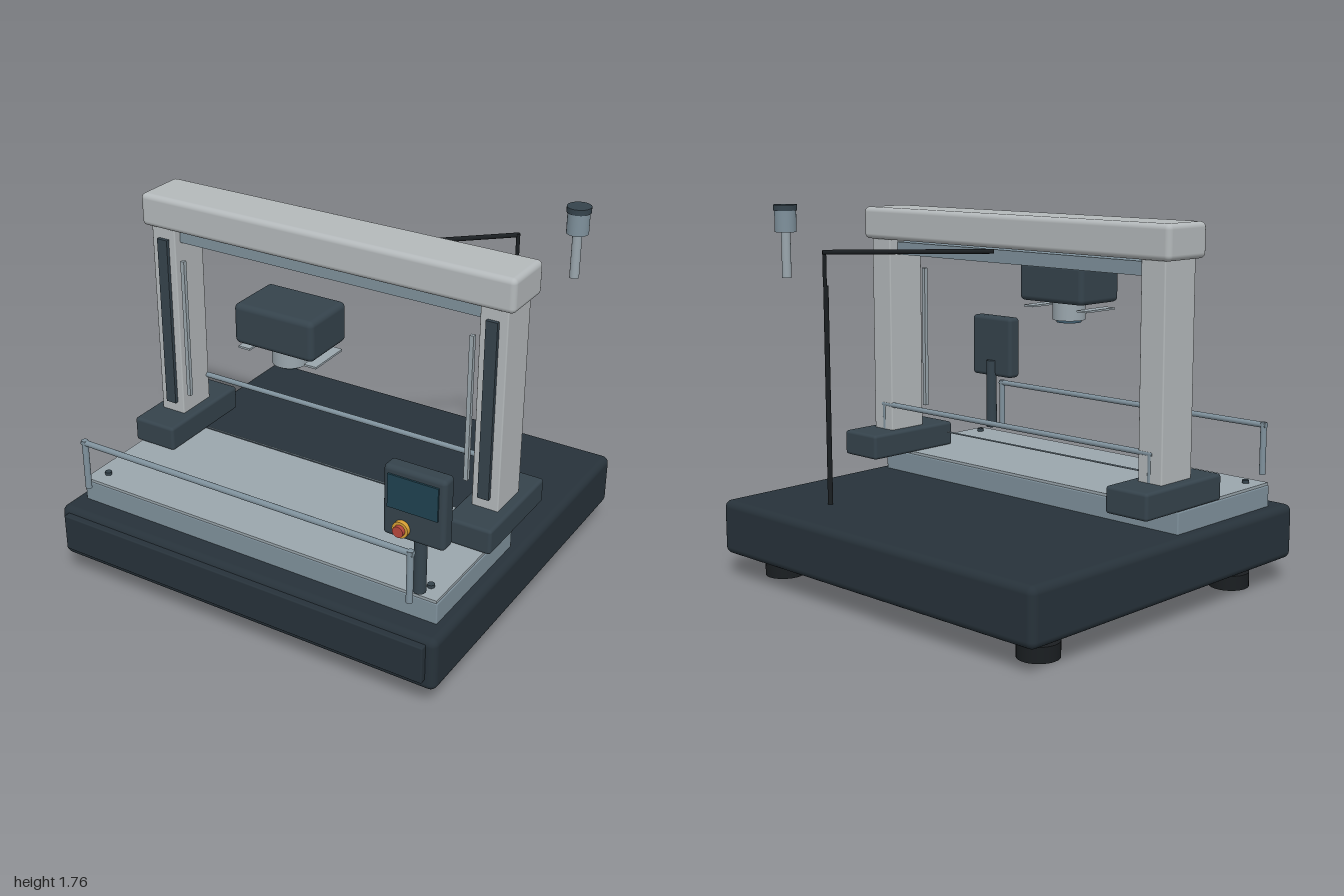
import * as THREE from 'three';
import { RoundedBoxGeometry } from 'three/addons/geometries/RoundedBoxGeometry.js';

const mat = (color) => new THREE.MeshStandardMaterial({ color });
const M = {
  navy: mat(0x27323a), slate: mat(0x35434c), black: mat(0x1a1e21), shell: mat(0xb4b9bb),
  steel: mat(0x7f919c), pale: mat(0x9aa6ad), screen: mat(0x1f4250), yellow: mat(0xd9a035),
  red: mat(0xb8473c), glass: mat(0x3d5a6b),
};

export function createModel() {
  const root = new THREE.Group();
  const add = (name, geo, material, x, y, z) => {
    const m = new THREE.Mesh(geo, material);
    m.name = name;
    m.position.set(x, y, z);
    root.add(m);
    return m;
  };
  // Box given by its extents; r > 0 rounds the edges
  const box = (name, material, [x0, x1], [y0, y1], [z0, z1], r = 0) => {
    const s = [x1 - x0, y1 - y0, z1 - z0];
    const geo = r ? new RoundedBoxGeometry(...s, 4, r) : new THREE.BoxGeometry(...s);
    return add(name, geo, material, (x0 + x1) / 2, (y0 + y1) / 2, (z0 + z1) / 2);
  };
  // Upright cylinder
  const cyl = (name, material, r, [y0, y1], x, z) =>
    add(name, new THREE.CylinderGeometry(r, r, y1 - y0, 32), material, x, (y0 + y1) / 2, z);
  // Round rod between two points
  const rod = (name, material, r, a, b) => {
    const p = new THREE.Vector3(...a), q = new THREE.Vector3(...b);
    const d = q.clone().sub(p), c = p.clone().add(q).multiplyScalar(0.5);
    const m = add(name, new THREE.CylinderGeometry(r, r, d.length(), 16), material, c.x, c.y, c.z);
    m.quaternion.setFromUnitVectors(new THREE.Vector3(0, 1, 0), d.normalize());
    return m;
  };

  // Base and stage
  box('base', M.navy, [-1, 1], [0.115, 0.375], [-0.915, 0.885], 0.035);
  box('frontPanel', M.navy, [-0.955, 0.955], [0.17, 0.35], [0.87, 0.915], 0.006);
  box('stage', M.steel, [-0.94, 0.94], [0.37, 0.475], [0.075, 0.767], 0.006);
  box('stagePlate', M.pale, [-0.935, 0.935], [0.475, 0.488], [0.08, 0.765]);

  for (const s of [-1, 1]) {
    const mirror = (a, b) => (s > 0 ? [a, b] : [-b, -a]);
    // Feet and stage bolts
    for (const z of [0.63, -0.69]) {
      cyl('foot', M.black, 0.093, [0, 0.07], s * 0.825, z);
      cyl('footStem', M.pale, 0.042, [0.07, 0.13], s * 0.83, z);
    }
    for (const z of [0.685, 0.16]) cyl('stageBolt', M.slate, 0.016, [0.48, 0.503], s * 0.865, z);

    // Gantry columns
    box('columnFoot', M.slate, mirror(0.74, 0.968), [0.485, 0.607], [-0.18, 0.35], 0.015);
    box('column', M.shell, mirror(0.79, 0.92), [0.6, 1.58], [-0.02, 0.19], 0.006);
    box('columnRail', M.slate, mirror(0.825, 0.88), [0.66, 1.51], [0.185, 0.208]);
    box('sensorStrip', M.pale, mirror(0.745, 0.765), [0.715, 1.415], [0.17, 0.19]);

    // Guard rail posts
    cyl('guardPost', M.steel, 0.015, [0.5, 0.75], s * 0.85, 0.842);
    cyl('rearGuardPost', M.steel, 0.013, [0.5, 0.735], s * 0.85, -0.01);

    // Lamp strips beside the lens
    box('lampStrip', M.pale, mirror(0.14, 0.2), [1.255, 1.264], [0.317, 0.527]);
  }

  // Gantry beam, cross rail and guard bars
  box('beam', M.shell, [-0.957, 0.957], [1.565, 1.722], [-0.045, 0.22], 0.025);
  box('crossRail', M.steel, [-0.79, 0.79], [1.49, 1.552], [0.03, 0.15]);
  rod('guardBar', M.steel, 0.014, [-0.865, 0.737, 0.842], [0.865, 0.737, 0.842]);
  rod('rearGuardBar', M.steel, 0.013, [-0.865, 0.735, -0.01], [0.865, 0.735, -0.01]);
  rod('scanLine', M.steel, 0.004, [-0.63, 0.587, 0.212], [0.63, 0.587, 0.212]);

  // Camera head
  box('cameraHead', M.slate, [-0.2, 0.2], [1.29, 1.476], [0.28, 0.557], 0.025);
  cyl('lensBarrel', M.pale, 0.08, [1.2, 1.3], 0, 0.422);
  cyl('lensGlass', M.glass, 0.06, [1.187, 1.205], 0, 0.422);

  // Control pendant
  cyl('pendantPost', M.slate, 0.028, [0.505, 0.87], 0.85, 0.757);
  box('pendant', M.slate, [0.712, 0.996], [0.783, 1.107], [0.757, 0.835], 0.02);
  box('screen', M.screen, [0.737, 0.967], [0.922, 1.074], [0.83, 0.843]);
  rod('buttonCollar', M.yellow, 0.037, [0.805, 0.838, 0.83], [0.805, 0.838, 0.855]);
  rod('stopButton', M.red, 0.025, [0.805, 0.838, 0.85], [0.805, 0.838, 0.873]);

  // Cable mast with angled arm
  cyl('mast', M.black, 0.012, [0.37, 1.4], 0.565, -0.615);
  cyl('mastTop', M.black, 0.009, [1.4, 1.56], 0.568, -0.618);
  rod('mastArm', M.black, 0.011, [0.57, 1.553, -0.625], [0, 1.558, -0.095]);

  // Signal lamp
  cyl('lampPole', M.pale, 0.022, [1.415, 1.64], 0.862, -0.605);
  cyl('lampBody', M.steel, 0.051, [1.63, 1.735], 0.862, -0.605);
  cyl('lampCap', M.slate, 0.056, [1.73, 1.757], 0.862, -0.605);

  return root;
}
